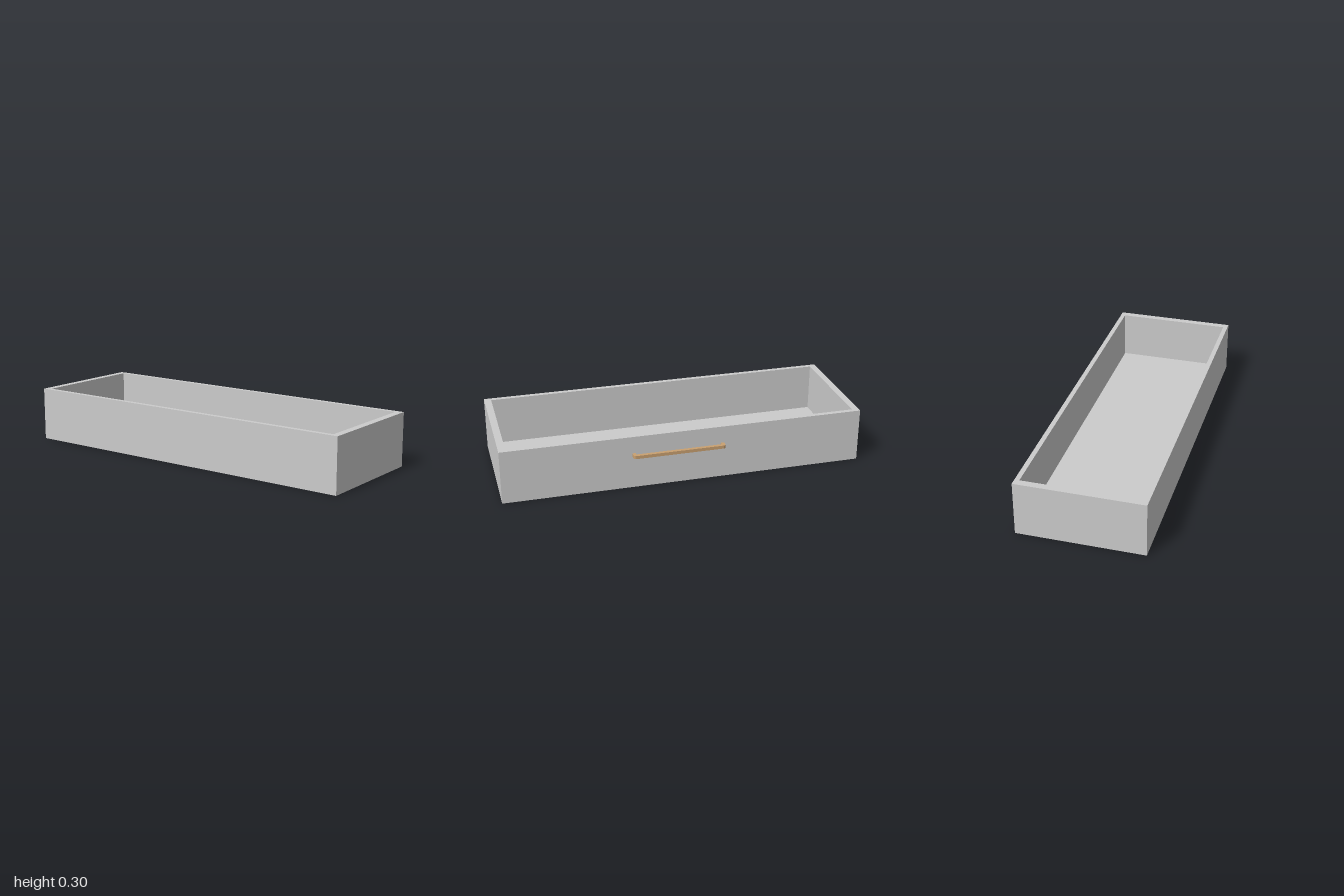
import * as THREE from 'three';

const grey = new THREE.MeshStandardMaterial({ color: 0xcccccc });
const tan = new THREE.MeshStandardMaterial({ color: 0xc9a070 });

// Extrude an outline drawn in (x, z) downwards from y = top
function slab(name, shape, top, height, material) {
  const geo = new THREE.ExtrudeGeometry(shape, { depth: height, bevelEnabled: false, curveSegments: 8 });
  geo.rotateX(Math.PI / 2).translate(0, top, 0);
  const mesh = new THREE.Mesh(geo, material);
  mesh.name = name;
  return mesh;
}

function rectangle(path, x0, z0, x1, z1) {
  return path.moveTo(x0, z0).lineTo(x1, z0).lineTo(x1, z1).lineTo(x0, z1).closePath();
}

export function createModel() {
  const model = new THREE.Group();
  model.name = 'drawer';

  const height = 0.3, floorThickness = 0.03;
  const back = -0.325, front = 0.362;
  const wallX = 0.0385, wallZ = 0.026;
  const inner = [-1 + wallX, back + wallZ, 1 - wallX, front - wallZ];

  // Four walls as one frame
  const frame = rectangle(new THREE.Shape(), -1, back, 1, front);
  frame.holes.push(rectangle(new THREE.Path(), ...inner));
  model.add(slab('walls', frame, height, height, grey));

  // Floor panel inside the frame
  model.add(slab('floor', rectangle(new THREE.Shape(), ...inner), floorThickness, floorThickness, grey));

  // Pull handle: flat U bar with rounded outer corners
  const x0 = -0.213, x1 = 0.297, tip = -0.362, t = 0.019, r = 0.014;
  const pull = new THREE.Shape();
  pull.moveTo(x0, back);
  pull.lineTo(x0, tip + r);
  pull.absarc(x0 + r, tip + r, r, Math.PI, Math.PI * 1.5, false);
  pull.lineTo(x1 - r, tip);
  pull.absarc(x1 - r, tip + r, r, -Math.PI / 2, 0, false);
  pull.lineTo(x1, back);
  pull.lineTo(x1 - t, back);
  pull.lineTo(x1 - t, tip + t);
  pull.lineTo(x0 + t, tip + t);
  pull.lineTo(x0 + t, back);
  pull.closePath();
  model.add(slab('handle', pull, 0.204, 0.018, tan));

  return model;
}
